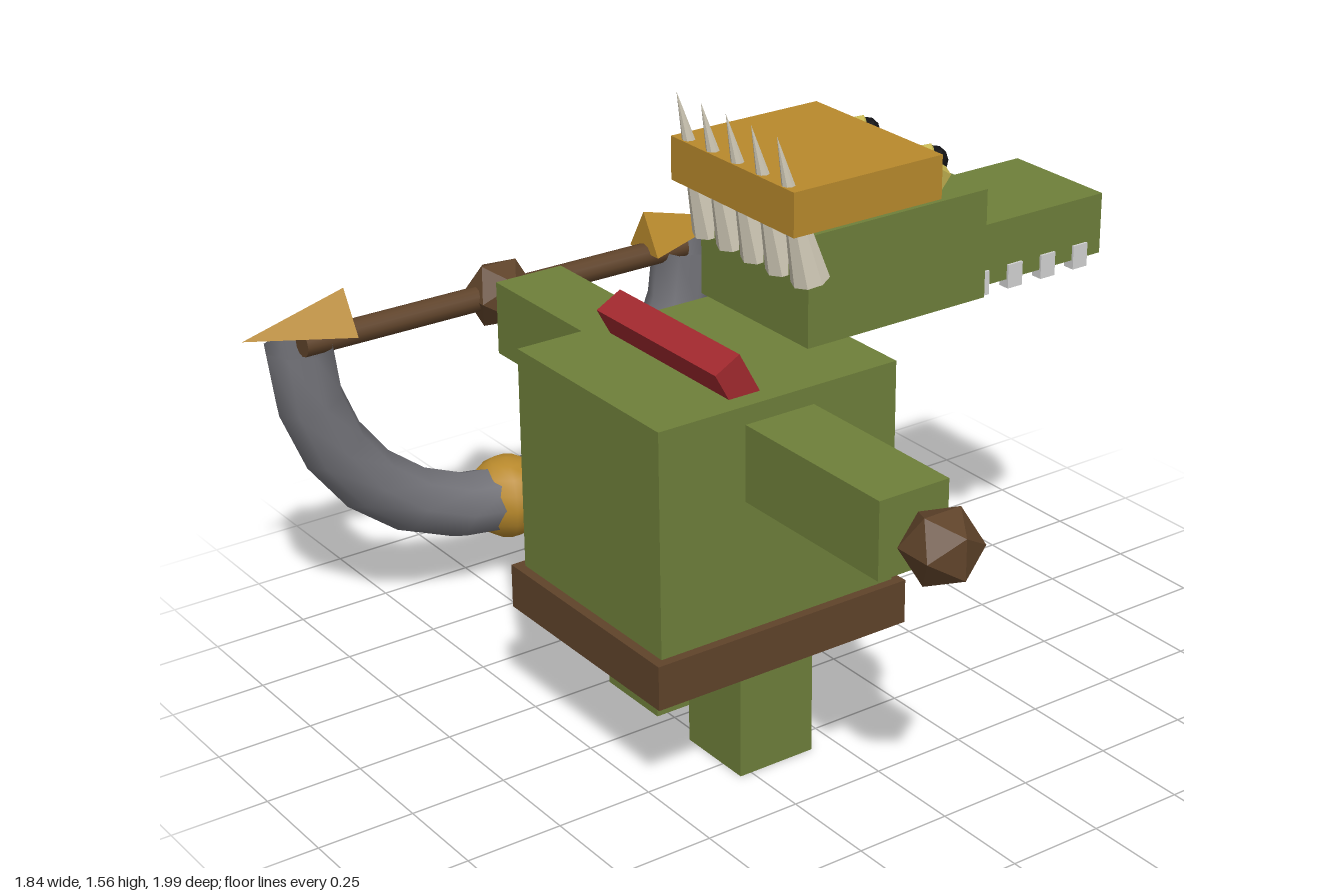
import * as THREE from 'three';

const mat = (name, color, extra = {}) => Object.assign(new THREE.MeshStandardMaterial({ color, ...extra }), { name });

export function createModel() {
  const green = mat('skin green', 0x6e7f3a);
  const gold = mat('gold', 0xb8892c);
  const brown = mat('leather brown', 0x5f432a);
  const red = mat('cape red', 0xa2292e);
  const tan = mat('belly tan', 0xc6af82);
  const grey = mat('bow grey', 0x74747a, { side: THREE.DoubleSide });
  const ivory = mat('spike ivory', 0xd2cbb8);
  const white = mat('tooth white', 0xd2d2d2);
  const yellow = mat('eye yellow', 0xc8b854);
  const black = mat('pupil black', 0x121215);

  const model = new THREE.Group();
  model.name = 'creature';
  const CX = -0.175, CZ = 0.04;

  const add = (name, geo, material, x, y, z) => {
    const mesh = new THREE.Mesh(geo, material);
    mesh.name = name;
    mesh.position.set(x, y, z);
    model.add(mesh);
    return mesh;
  };
  // Box given by its lower and upper corners
  const box = (name, material, [x0, y0, z0], [x1, y1, z1]) =>
    add(name, new THREE.BoxGeometry(x1 - x0, y1 - y0, z1 - z0), material,
      (x0 + x1) / 2, (y0 + y1) / 2, (z0 + z1) / 2);
  // Faceted geometry
  const flat = (geo) => {
    const g = geo.index ? geo.toNonIndexed() : geo;
    g.computeVertexNormals();
    return g;
  };

  // Torso, belt and belly
  box('body', green, [-0.513, 0.32, CZ - 0.293], [0.165, 0.977, CZ + 0.293]);
  box('belt', brown, [-0.538, 0.285, CZ - 0.317], [0.188, 0.4, CZ + 0.317]);
  box('bellyPatch', tan, [0.163, 0.36, CZ - 0.22], [0.168, 0.735, CZ + 0.22]);
  add('beltBuckle', new THREE.SphereGeometry(0.087, 24, 16), gold, 0.214, 0.412, CZ);

  // Cape board slanting down through the torso
  const cape = add('cape', new THREE.BoxGeometry(0.077, 0.873, 0.485), red, -0.077, 0.681, CZ);
  cape.rotation.z = 0.5;

  // Arms and legs
  for (const s of [1, -1]) {
    const side = s > 0 ? 'left' : 'right';
    add(side + 'Arm', new THREE.BoxGeometry(0.195, 0.195, 0.49), green, CX, 0.833, CZ + s * 0.536);
    add(side + 'Leg', new THREE.BoxGeometry(0.213, 0.31, 0.214), green, CX, 0.155, CZ + s * 0.176);
    // Studs at both fists; one doubles as the bow grip
    add(side + 'FistStud', flat(new THREE.IcosahedronGeometry(0.097)), brown, CX, 0.832, s > 0 ? 0.917 : -0.887);
  }

  // Head, snout and teeth
  box('head', green, [-0.035, 1.03, CZ - 0.213], [0.5, 1.308, CZ + 0.213]);
  box('snout', green, [0.49, 1.032, CZ - 0.16], [0.922, 1.19, CZ + 0.16]);
  for (let i = 0; i < 4; i++)
    for (const s of [1, -1])
      add('tooth', new THREE.BoxGeometry(0.046, 0.062, 0.032), white, 0.533 + i * 0.1065, 1.04, CZ + s * 0.15);

  // Eyes
  for (const s of [1, -1]) {
    add('eye', flat(new THREE.IcosahedronGeometry(0.084)), yellow, 0.347, 1.35, CZ + s * 0.129);
    add('pupil', flat(new THREE.IcosahedronGeometry(0.037, 1)), black, 0.398, 1.378, CZ + s * 0.129);
  }

  // Head plate with a row of long spikes running through it
  box('headPlate', gold, [-0.1, 1.328, CZ - 0.242], [0.333, 1.438, CZ + 0.242]);
  const base = new THREE.Vector2(-0.017, 1.195), tip = new THREE.Vector2(-0.114, 1.562);
  const length = base.distanceTo(tip);
  for (let i = -2; i <= 2; i++) {
    const spike = add('spike', flat(new THREE.ConeGeometry(0.047, length, 8)), ivory,
      (base.x + tip.x) / 2, (base.y + tip.y) / 2, CZ + i * 0.098);
    spike.rotation.z = Math.atan2(base.x - tip.x, tip.y - base.y);
  }

  // Bow: half ring, grip rod, pointed ends and a bead at the bottom
  const BZ = -0.887;
  const ring = add('bowRing', new THREE.TorusGeometry(0.59, 0.09, 8, 12, Math.PI), grey, CX, 0.83, BZ);
  ring.rotation.z = Math.PI;
  const rod = add('bowRod', new THREE.CylinderGeometry(0.033, 0.033, 1.16, 12), brown, CX, 0.83, BZ);
  rod.rotation.z = Math.PI / 2;
  add('bowBead', new THREE.SphereGeometry(0.113, 10, 8), gold, CX, 0.243, BZ);
  for (const s of [1, -1]) {
    // Three-sided point lying along x with one ridge on top
    const geo = new THREE.ConeGeometry(0.076, 0.288, 3);
    geo.rotateY(-s * Math.PI / 2);
    geo.rotateZ(-s * Math.PI / 2);
    geo.computeBoundingBox();
    if (geo.boundingBox.max.y < 0.06) geo.rotateX(Math.PI);
    add('bowPoint', flat(geo), gold, CX + s * 0.599, 0.878, BZ);
  }
  return model;
}
